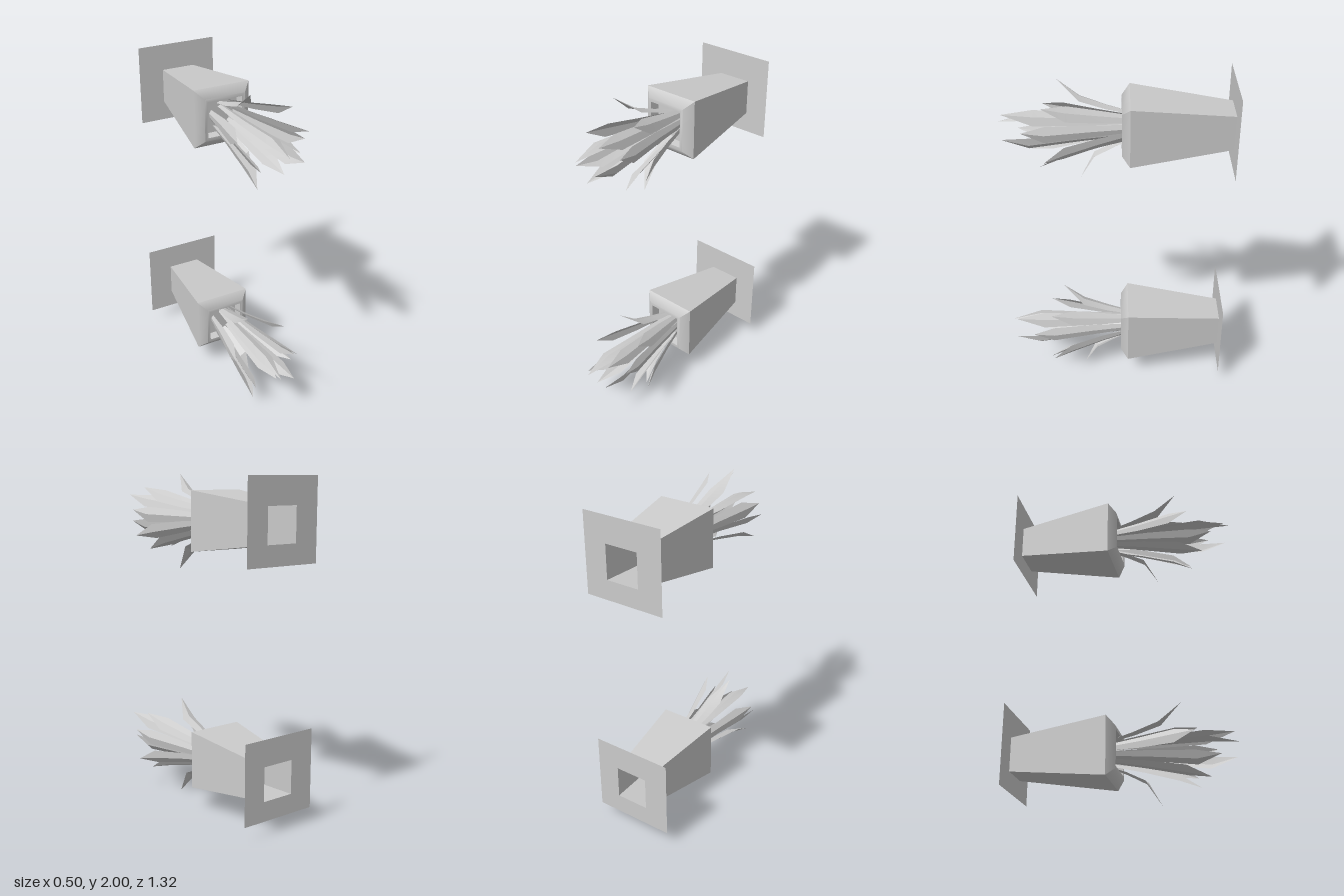
import * as THREE from 'three';
import { toCreasedNormals } from 'three/addons/utils/BufferGeometryUtils.js';

const CX = 0.005, CY = 0.305; // pot axis, running along z
const grey = new THREE.MeshStandardMaterial({ color: 0xcccccc, side: THREE.DoubleSide });

function add(group, name, geometry) {
  const mesh = new THREE.Mesh(geometry, grey);
  mesh.name = name;
  group.add(mesh);
}

// Square section swept along z from [half width, z] pairs
function squareSweep(profile) {
  const pts = profile.map(([h, z]) => new THREE.Vector2(h * Math.SQRT2, z));
  const geo = new THREE.LatheGeometry(pts, 4, Math.PI / 4).rotateX(Math.PI / 2).translate(CX, CY, 0);
  return toCreasedNormals(geo.toNonIndexed(), 0.9);
}

// Pointed leaf: narrow base, broad shoulder, keel pushed away from the pot axis
function leafGeometry(base, shoulder, tip) {
  const a = new THREE.Vector3(...base), m = new THREE.Vector3(...shoulder), t = new THREE.Vector3(...tip);
  const out = new THREE.Vector3(m.x - CX, m.y - CY, 0).normalize();
  const side = new THREE.Vector3(out.y, -out.x, 0);
  const lower = a.clone().lerp(m, 0.5).addScaledVector(out, -0.006);
  const stations = [[a, 0.02], [lower, 0.036], [m, 0.046], [t, 0]];
  const pos = [], index = [];
  stations.forEach(([p, w], i) => {
    for (const k of [-1, 0, 1]) {
      const keel = k === 0 ? w * 0.35 : 0;
      const v = p.clone().addScaledVector(side, k * w).addScaledVector(out, keel);
      pos.push(v.x, v.y, v.z);
    }
    if (i === 0) return;
    for (let k = 0; k < 2; k++) {
      const q = (i - 1) * 3 + k;
      index.push(q, q + 1, q + 3);
      if (i < 3) index.push(q + 1, q + 4, q + 3);
    }
  });
  const geo = new THREE.BufferGeometry();
  geo.setAttribute('position', new THREE.Float32BufferAttribute(pos, 3));
  geo.setIndex(index);
  return toCreasedNormals(geo.toNonIndexed(), 0.5);
}

// base, shoulder and tip of every leaf
const leaves = [
  [[0.0, 0.375, -0.1], [-0.005, 0.465, 0.2], [-0.04, 0.57, 0.33]],
  [[0.06, 0.37, -0.1], [0.14, 0.44, 0.27], [0.18, 0.49, 0.4]],
  [[0.05, 0.36, -0.1], [0.115, 0.405, 0.45], [0.145, 0.44, 0.62]],
  [[0.075, 0.32, -0.1], [0.16, 0.325, 0.39], [0.19, 0.35, 0.515]],
  [[0.08, 0.29, -0.1], [0.19, 0.23, 0.28], [0.25, 0.2, 0.39]],
  [[0.05, 0.28, -0.1], [0.115, 0.25, 0.48], [0.12, 0.275, 0.63]],
  [[0.05, 0.25, -0.1], [0.1, 0.165, 0.3], [0.13, 0.11, 0.42]],
  [[0.01, 0.23, -0.1], [0.03, 0.135, 0.12], [0.06, 0.0, 0.2]],
  [[-0.04, 0.25, -0.1], [-0.055, 0.165, 0.36], [-0.085, 0.11, 0.5]],
  [[-0.05, 0.28, -0.1], [-0.07, 0.23, 0.42], [-0.1, 0.235, 0.56]],
  [[-0.06, 0.32, -0.1], [-0.125, 0.345, 0.3], [-0.162, 0.36, 0.42]],
  [[0.005, 0.355, -0.1], [0.008, 0.36, 0.48], [0.01, 0.33, 0.66]],
];

// Wall plate with a square opening behind the pot
function plateGeometry() {
  const rect = (Type, x0, y0, x1, y1) => new Type([[x0, y0], [x1, y0], [x1, y1], [x0, y1]]
    .map(([x, y]) => new THREE.Vector2(x, y)));
  const shape = rect(THREE.Shape, -0.25, 0.085, 0.247, 0.565);
  shape.holes.push(rect(THREE.Path, CX - 0.102, CY - 0.102, CX + 0.102, CY + 0.102));
  return new THREE.ShapeGeometry(shape).translate(0, 0, -0.66);
}

function createPlanter() {
  const planter = new THREE.Group();
  planter.name = 'planter';
  add(planter, 'wallPlate', plateGeometry());
  // Tapered pot with bevelled rim and inner lip
  add(planter, 'pot', squareSweep([
    [0.102, -0.66], [0.175, -0.08], [0.127, -0.035], [0.108, -0.035], [0.102, -0.09],
  ]));
  add(planter, 'soil', new THREE.PlaneGeometry(0.204, 0.204).translate(CX, CY, -0.09));
  const foliage = new THREE.Group();
  foliage.name = 'foliage';
  leaves.forEach((leaf, i) => add(foliage, `leaf${i + 1}`, leafGeometry(...leaf)));
  planter.add(foliage);
  return planter;
}

export function createModel() {
  const model = new THREE.Group();
  model.name = 'wallPlanters';
  // Two identical planters, one above the other
  for (const [name, y] of [['lowerPlanter', 0], ['upperPlanter', 1.43]]) {
    const planter = createPlanter();
    planter.name = name;
    planter.position.y = y;
    model.add(planter);
  }
  return model;
}
